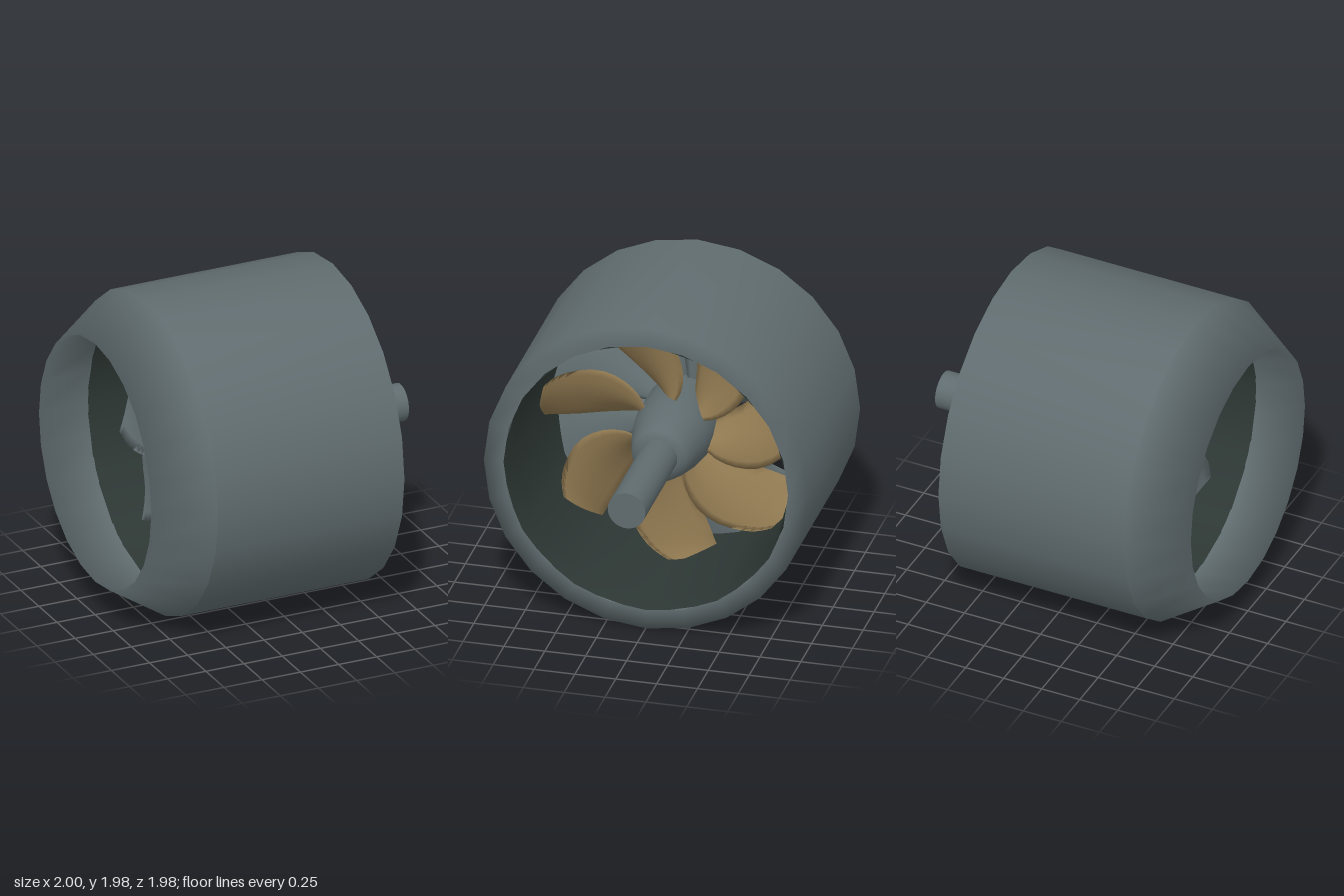
import * as THREE from 'three';

const CENTRE_Y = 0.995;

function makeMaterial(name, color) {
  const m = new THREE.MeshStandardMaterial({ color, side: THREE.DoubleSide });
  m.name = name;
  return m;
}

// Surface of revolution about the x axis; profile holds [x, radius] pairs.
function turned(name, profile, sides, material) {
  const points = profile.map(([x, r]) => new THREE.Vector2(r, x));
  const geometry = new THREE.LatheGeometry(points, sides);
  geometry.rotateZ(-Math.PI / 2);
  const mesh = new THREE.Mesh(geometry, material);
  mesh.name = name;
  return mesh;
}

// Swept blade lofted outward through rows of [radius, edge angle, other edge angle] (degrees).
function bladeGeometry(rows, xMid, pitch, thickness) {
  const steps = 8;
  const loop = steps * 2;
  const positions = [];
  const indices = [];
  const curve = new THREE.CatmullRomCurve3(rows.map((r) => new THREE.Vector3(...r)));
  const spans = 14;
  for (let i = 0; i <= spans; i++) {
    const { x: radius, y: a0, z: a1 } = curve.getPoint(i / spans);
    const half = thickness * (1 - 0.75 * (i / spans));
    for (let j = 0; j < loop; j++) {
      const t = j <= steps ? j / steps : (loop - j) / steps;
      const side = j <= steps ? 1 : -1;
      const angle = THREE.MathUtils.degToRad(a0 + (a1 - a0) * t);
      const camber = 0.03 * Math.sin(Math.PI * t);
      const x = xMid + pitch * (t - 0.5) + camber + side * half * Math.sin(Math.PI * t);
      positions.push(x, radius * Math.cos(angle), -radius * Math.sin(angle));
    }
  }
  for (let i = 0; i < spans; i++) {
    for (let j = 0; j < loop; j++) {
      const a = i * loop + j;
      const b = i * loop + ((j + 1) % loop);
      indices.push(a, b, a + loop, b, b + loop, a + loop);
    }
  }
  const geometry = new THREE.BufferGeometry();
  geometry.setAttribute('position', new THREE.Float32BufferAttribute(positions, 3));
  geometry.setIndex(indices);
  geometry.computeVertexNormals();
  return geometry;
}

// Ring of equal blades about the x axis.
function bladeRing(name, count, offset, geometry, material) {
  const ring = new THREE.Group();
  ring.name = name;
  for (let i = 0; i < count; i++) {
    const blade = new THREE.Mesh(geometry, material);
    blade.name = name + 'Blade' + (i + 1);
    blade.rotation.x = -(THREE.MathUtils.degToRad(offset) + (i * Math.PI * 2) / count);
    ring.add(blade);
  }
  return ring;
}

export function createModel() {
  const steel = makeMaterial('slate grey steel', 0x606c6f);
  const lining = makeMaterial('dark duct lining', 0x2d3734);
  const bronze = makeMaterial('bronze', 0x8f7850);

  const model = new THREE.Group();
  model.name = 'ductedPropeller';
  const unit = new THREE.Group();
  unit.name = 'assembly';
  unit.position.y = CENTRE_Y;
  model.add(unit);

  // Duct: wall and nozzle meet at a crisp edge, with a coarser dark lining inside
  unit.add(
    turned('ductWall', [[-0.665, 0.99], [0.555, 0.99], [0.554, 0.87]], 24, steel),
    turned('nozzle', [[-0.66, 0.815], [-1, 0.775], [-0.665, 0.99]], 24, steel),
    turned('ductLining', [[0.553, 0.89], [0.4, 0.86], [-0.1, 0.84], [-0.665, 0.825]], 12, lining)
  );

  // Shaft and hub
  unit.add(
    turned('shaft', [[0.2, 0.115], [1, 0.115]], 32, steel),
    turned('shaftEnd', [[1, 0.115], [1, 0]], 32, steel),
    turned('hub', [[-0.48, 0], [-0.47, 0.15], [-0.43, 0.22], [-0.36, 0.238], [-0.1, 0.24],
      [0.02, 0.225], [0.14, 0.198], [0.25, 0.165], [0.262, 0.11]], 32, steel)
  );

  // Seven bronze rotor blades
  const rotorRows = [
    [0.2, 28, 55], [0.3, 20, 63], [0.4, 16, 62], [0.55, 12, 55],
    [0.69, 10, 43], [0.77, 9.5, 35], [0.825, 9, 27]
  ];
  unit.add(bladeRing('rotor', 7, 0, bladeGeometry(rotorRows, -0.13, 0.18, 0.018), bronze));

  // Nine fixed guide vanes behind the rotor, pitched the other way
  const statorRows = [
    [0.18, 10, 46], [0.3, 5, 45], [0.42, 2, 43], [0.55, 0, 40],
    [0.7, -1, 35], [0.82, -2, 28]
  ];
  unit.add(bladeRing('stator', 9, -3, bladeGeometry(statorRows, -0.41, -0.13, 0.015), steel));

  return model;
}
